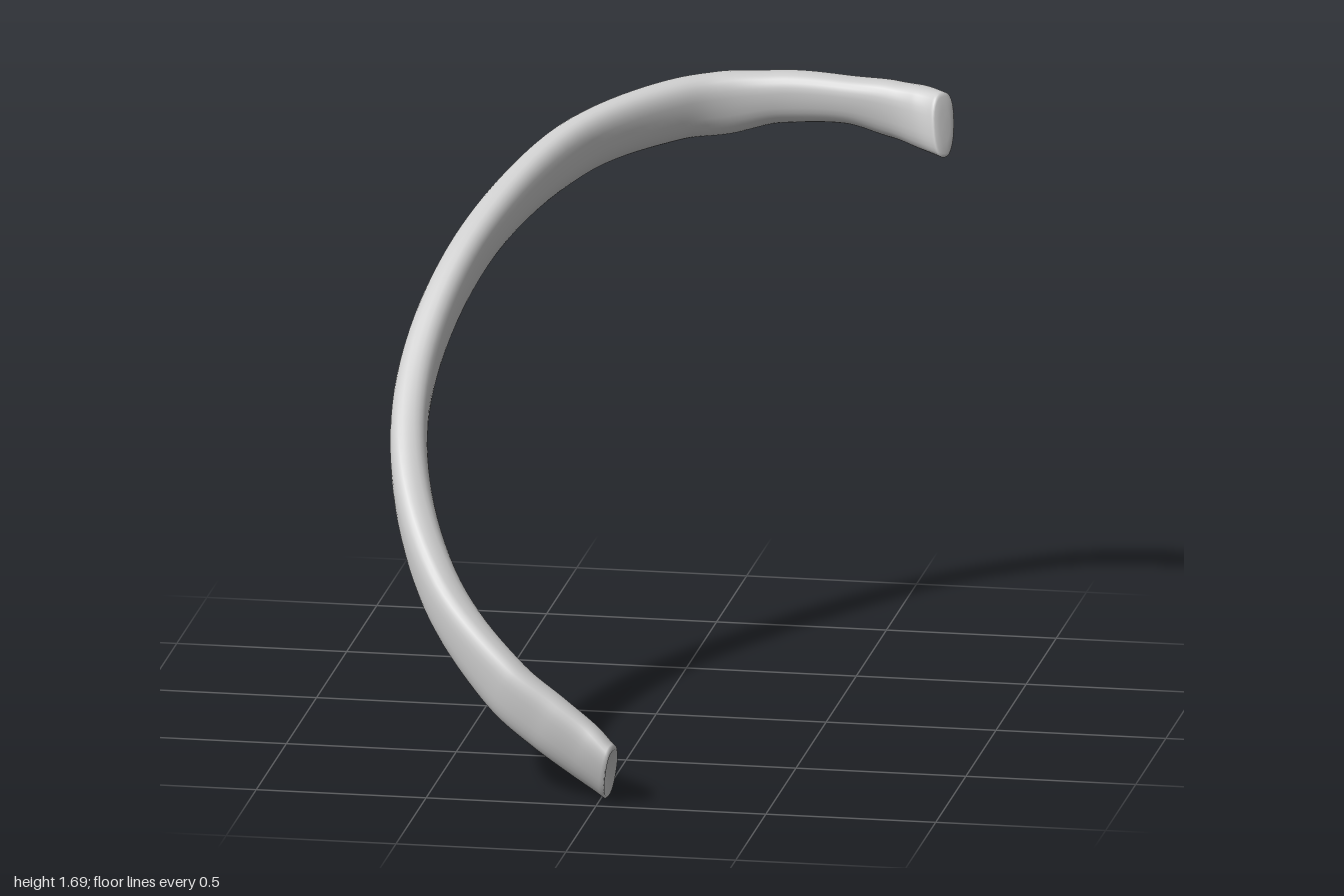
import * as THREE from 'three';

// Stations from head to tip: x, y, z, half height, half thickness
const STATIONS = [
  [0.71, 1.595, -0.765, 0.088, 0.038],
  [0.64, 1.596, -0.83, 0.09, 0.05],
  [0.55, 1.602, -0.88, 0.084, 0.053],
  [0.4, 1.615, -0.915, 0.07, 0.054],
  [0.2, 1.607, -0.942, 0.077, 0.057],
  [0.03, 1.583, -0.927, 0.093, 0.058],
  [-0.1, 1.572, -0.867, 0.09, 0.058],
  [-0.35, 1.508, -0.645, 0.085, 0.053],
  [-0.57, 1.32, -0.26, 0.072, 0.053],
  [-0.675, 1.037, 0.13, 0.07, 0.054],
  [-0.645, 0.785, 0.44, 0.071, 0.054],
  [-0.5, 0.517, 0.71, 0.077, 0.054],
  [-0.29, 0.31, 0.867, 0.087, 0.05],
  [-0.16, 0.218, 0.905, 0.088, 0.048],
  [-0.05, 0.142, 0.922, 0.088, 0.048],
  [0.03, 0.085, 0.94, 0.083, 0.046],
];
const LAST = STATIONS.length - 1;
const SIDES = 28;
const STEPS = 130;

// Smoothly blended value of one station column
function sample(column, s) {
  const f = s * LAST;
  const i = Math.min(Math.floor(f), LAST - 1);
  return THREE.MathUtils.lerp(
    STATIONS[i][column], STATIONS[i + 1][column], THREE.MathUtils.smoothstep(f - i, 0, 1));
}

function ribGeometry() {
  const path = new THREE.CatmullRomCurve3(
    STATIONS.map(([x, y, z]) => new THREE.Vector3(x, y, z)));

  // Rings as [position on path, scale, push along path]; rounded head, hollow tip
  const rings = [[0, 0.001, -0.006], [0, 0.5, -0.006], [0, 0.88, -0.004]];
  for (let i = 0; i <= STEPS; i++) rings.push([i / STEPS, 1, 0]);
  rings.push([1, 0.9, 0.004], [1, 0.5, -0.012], [1, 0.001, -0.018]);

  const up = new THREE.Vector3(0, 1, 0);
  const soft = (v) => Math.sign(v) * Math.pow(Math.abs(v), 0.82);
  const positions = [];
  const indices = [];
  rings.forEach(([s, scale, push], r) => {
    const centre = path.getPoint(s);
    const along = path.getTangent(s);
    const height = up.clone().addScaledVector(along, -up.dot(along)).normalize();
    const outward = along.clone().cross(height);
    const halfHeight = sample(3, s);
    const halfThickness = sample(4, s);
    // Both ends are cut at a slant and twist their top edge outward
    const nearHead = Math.max(0, 1 - (s * LAST) / 2);
    const nearTip = Math.max(0, 1 - ((1 - s) * LAST) / 2);
    const lean = 0.03 * nearHead - 0.032 * nearTip ** 2;
    const tilt = 0.018 * nearHead + 0.025 * nearTip;
    for (let j = 0; j < SIDES; j++) {
      const a = (j / SIDES) * Math.PI * 2;
      const v = soft(Math.sin(a)) * scale;
      const u = soft(Math.cos(a)) * scale * (1 + 0.1 * v);
      const p = centre.clone()
        .addScaledVector(height, halfHeight * v)
        .addScaledVector(along, lean * v + push)
        .addScaledVector(outward, halfThickness * u + tilt * v);
      positions.push(p.x, p.y, p.z);
      if (r < rings.length - 1) {
        const p0 = r * SIDES + j;
        const p1 = r * SIDES + (j + 1) % SIDES;
        indices.push(p0, p0 + SIDES, p1, p1, p0 + SIDES, p1 + SIDES);
      }
    }
  });

  const geometry = new THREE.BufferGeometry();
  geometry.setAttribute('position', new THREE.Float32BufferAttribute(positions, 3));
  geometry.setIndex(indices);
  geometry.computeVertexNormals();
  // Rest the lowest point on the ground
  geometry.computeBoundingBox();
  geometry.translate(0, -geometry.boundingBox.min.y, 0);
  return geometry;
}

export function createModel() {
  const bone = new THREE.MeshStandardMaterial({ color: 0xcccccc });
  bone.name = 'bone grey';
  const rib = new THREE.Mesh(ribGeometry(), bone);
  rib.name = 'rib';
  const model = new THREE.Group();
  model.name = 'ribBone';
  model.add(rib);
  return model;
}
